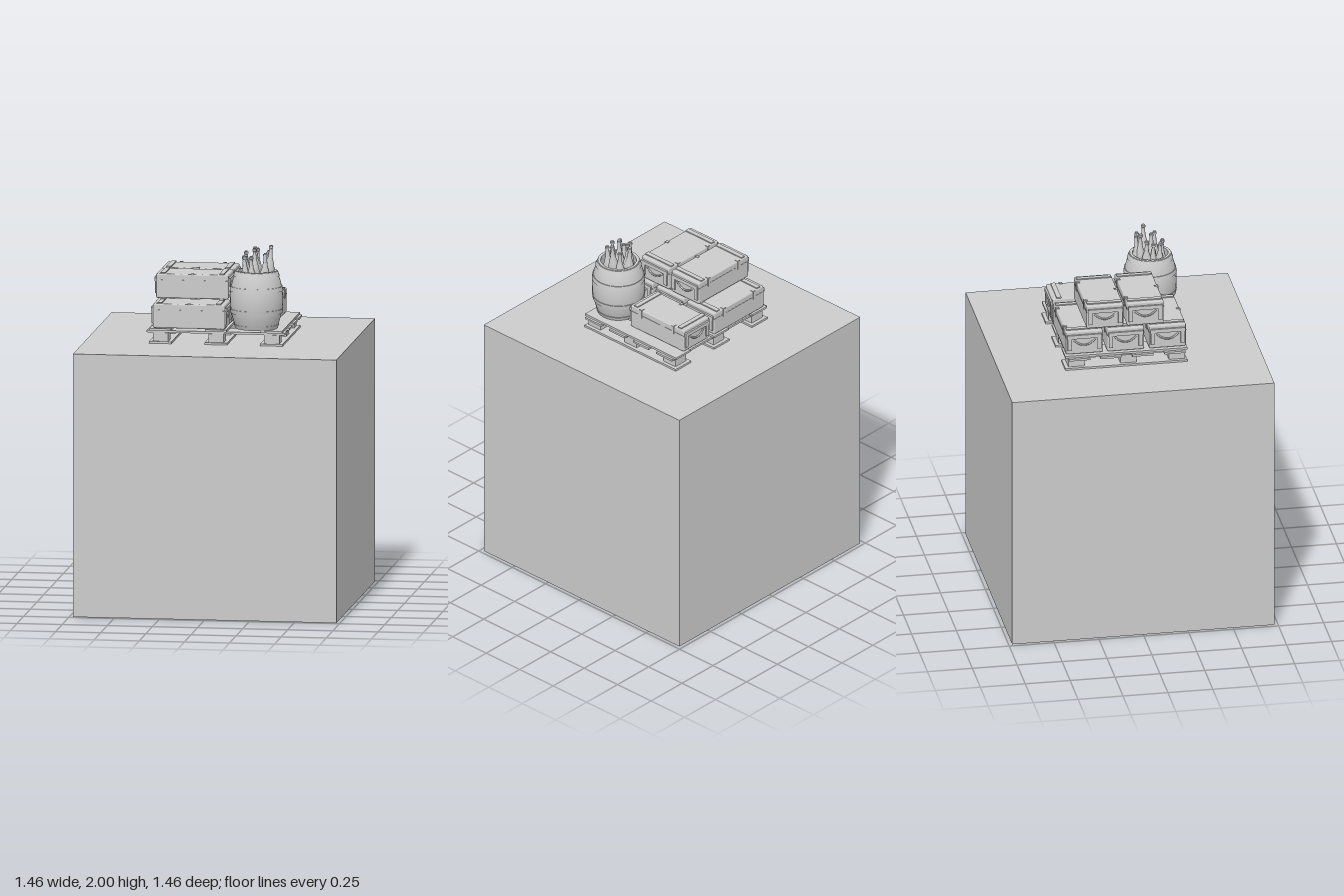
import * as THREE from 'three';
import { RoundedBoxGeometry } from 'three/addons/geometries/RoundedBoxGeometry.js';
import { toCreasedNormals } from 'three/addons/utils/BufferGeometryUtils.js';

const mat = new THREE.MeshStandardMaterial({ color: 0xcccccc });
const thinMat = new THREE.MeshStandardMaterial({ color: 0xcccccc, side: THREE.DoubleSide });

function add(parent, name, geometry, x = 0, y = 0, z = 0, material = mat) {
  const mesh = new THREE.Mesh(geometry, material);
  mesh.name = name;
  mesh.position.set(x, y, z);
  parent.add(mesh);
  return mesh;
}
const box = (parent, name, w, h, d, x, y, z) =>
  add(parent, name, new THREE.BoxGeometry(w, h, d), x, y, z);

function lathe(points, segments) {
  const profile = points.map(([r, y]) => new THREE.Vector2(r, y));
  return toCreasedNormals(new THREE.LatheGeometry(profile, segments), 0.6);
}

// Pallet: bottom runners, blocks, cross boards and top boards
function createPallet() {
  const g = new THREE.Group();
  g.name = 'pallet';
  for (const x of [-0.308, 0, 0.308]) {
    box(g, 'runner', 0.125, 0.011, 0.68, x, 0.0065, -0.03);
    for (const z of [0.255, -0.015, -0.305]) {
      box(g, 'block', 0.085, 0.048, 0.09, x, 0.036, z);
    }
    box(g, 'topBoard', 0.118, 0.012, 0.68, x, 0.078, -0.03);
  }
  for (const z of [-0.293, -0.118, 0.06, 0.238]) {
    box(g, 'crossBoard', 0.765, 0.012, 0.118, -0.002, 0.066, z);
  }
  return g;
}

// Crate with its length along x, base at y = 0, latch on +z and hinges on -z
function createCrate() {
  const L = 0.4, H = 0.135, D = 0.205;
  const g = new THREE.Group();
  g.name = 'crate';
  add(g, 'crateBody', new RoundedBoxGeometry(L, H, D, 2, 0.008), 0, H / 2, 0);
  box(g, 'lidSeam', L + 0.003, 0.004, D + 0.003, 0, H * 0.74, 0);
  for (const s of [-1, 1]) {
    // Lid battens, end cleats and handle
    box(g, 'lidBatten', 0.026, 0.008, D - 0.012, s * 0.163, H + 0.002, 0);
    box(g, 'foot', 0.026, 0.008, D - 0.012, s * 0.163, -0.002, 0);
    box(g, 'endCleat', 0.012, 0.022, D - 0.012, s * 0.204, 0.105, 0);
    for (const z of [-0.083, 0.083]) {
      box(g, 'endPost', 0.01, 0.07, 0.022, s * 0.203, 0.06, z);
    }
    const curve = new THREE.QuadraticBezierCurve3(
      new THREE.Vector3(s * 0.2, 0.085, -0.06),
      new THREE.Vector3(s * 0.212, 0.025, 0),
      new THREE.Vector3(s * 0.2, 0.085, 0.06));
    add(g, 'handle', new THREE.TubeGeometry(curve, 12, 0.005, 6));
    // Hinges
    box(g, 'hinge', 0.018, 0.005, 0.02, s * 0.12, H + 0.001, -D / 2 + 0.008);
    box(g, 'hingeLeaf', 0.018, 0.05, 0.006, s * 0.12, H - 0.023, -D / 2 - 0.001);
  }
  // Latch
  box(g, 'latch', 0.014, 0.005, 0.02, 0, H + 0.001, D / 2 - 0.008);
  box(g, 'latchPlate', 0.014, 0.035, 0.006, 0, H - 0.016, D / 2 + 0.001);
  return g;
}

// Open barrel with hoops
function createBarrel() {
  const g = new THREE.Group();
  g.name = 'barrel';
  const radius = (y) => 0.146 - 0.034 * Math.pow((y - 0.16) / 0.16, 2);
  const points = [[0, 0]];
  for (let i = 0; i <= 12; i++) points.push([radius(i * 0.32 / 12), i * 0.32 / 12]);
  points.push([0.098, 0.32], [0.104, 0.25], [0.114, 0.16], [0.1, 0.05], [0, 0.05]);
  add(g, 'barrelBody', lathe(points, 32), 0, 0, 0, thinMat);
  for (const [y, h] of [[0.012, 0.022], [0.098, 0.024], [0.222, 0.024], [0.305, 0.026]]) {
    const a = y - h / 2, b = y + h / 2;
    add(g, 'hoop', lathe([
      [radius(a) - 0.002, a], [radius(a) + 0.004, a],
      [radius(b) + 0.004, b], [radius(b) - 0.002, b],
    ], 32), 0, 0, 0, thinMat);
  }
  return g;
}

// Bottle, origin at its mouth
function createBottle() {
  return lathe([
    [0, -0.28], [0.026, -0.28], [0.028, -0.27], [0.028, -0.13], [0.024, -0.105],
    [0.014, -0.07], [0.009, -0.03], [0.009, -0.018], [0.012, -0.016],
    [0.012, -0.006], [0.009, -0.004], [0.009, 0], [0, 0],
  ], 14);
}

export function createModel() {
  const model = new THREE.Group();
  model.name = 'cargoOnPedestal';
  const base = 1.46, deck = base + 0.086;

  box(model, 'pedestal', 1.46, base, 1.46, 0, base / 2, 0);

  const pallet = createPallet();
  pallet.position.y = base;
  model.add(pallet);

  // Crates: x, y, z, turn about y
  for (const [x, y, z, turn] of [
    [-0.15, deck, -0.26, 0], [-0.15, deck, -0.03, 0], [-0.15, deck, 0.203, 0],
    [-0.15, deck + 0.147, -0.145, 0], [-0.15, deck + 0.147, 0.08, 0],
    [0.192, deck, -0.16, -Math.PI / 2],
  ]) {
    const crate = createCrate();
    crate.position.set(x, y, z);
    crate.rotation.y = turn;
    model.add(crate);
  }

  const barrel = createBarrel();
  barrel.position.set(0.21, deck - 0.002, 0.205);
  model.add(barrel);

  // Bottles: mouth position and slight lean
  const bottle = createBottle();
  for (const [x, z, y, leanX, leanZ] of [
    [0.205, 0.125, 1.975, -0.05, 0], [0.195, 0.15, 1.985, 0.04, 0.03],
    [0.27, 0.14, 1.965, -0.04, -0.05], [0.288, 0.18, 2.0, 0, -0.08],
    [0.148, 0.175, 1.965, 0, 0.06], [0.155, 0.215, 1.94, 0.03, 0.05],
    [0.2, 0.21, 1.985, 0, 0], [0.265, 0.24, 1.965, 0.04, -0.04],
    [0.19, 0.27, 1.95, 0.06, 0], [0.148, 0.252, 1.95, 0.05, 0.06],
  ]) {
    const mesh = add(model, 'bottle', bottle, x, y, z);
    mesh.rotation.set(leanX, 0, leanZ);
  }
  return model;
}
